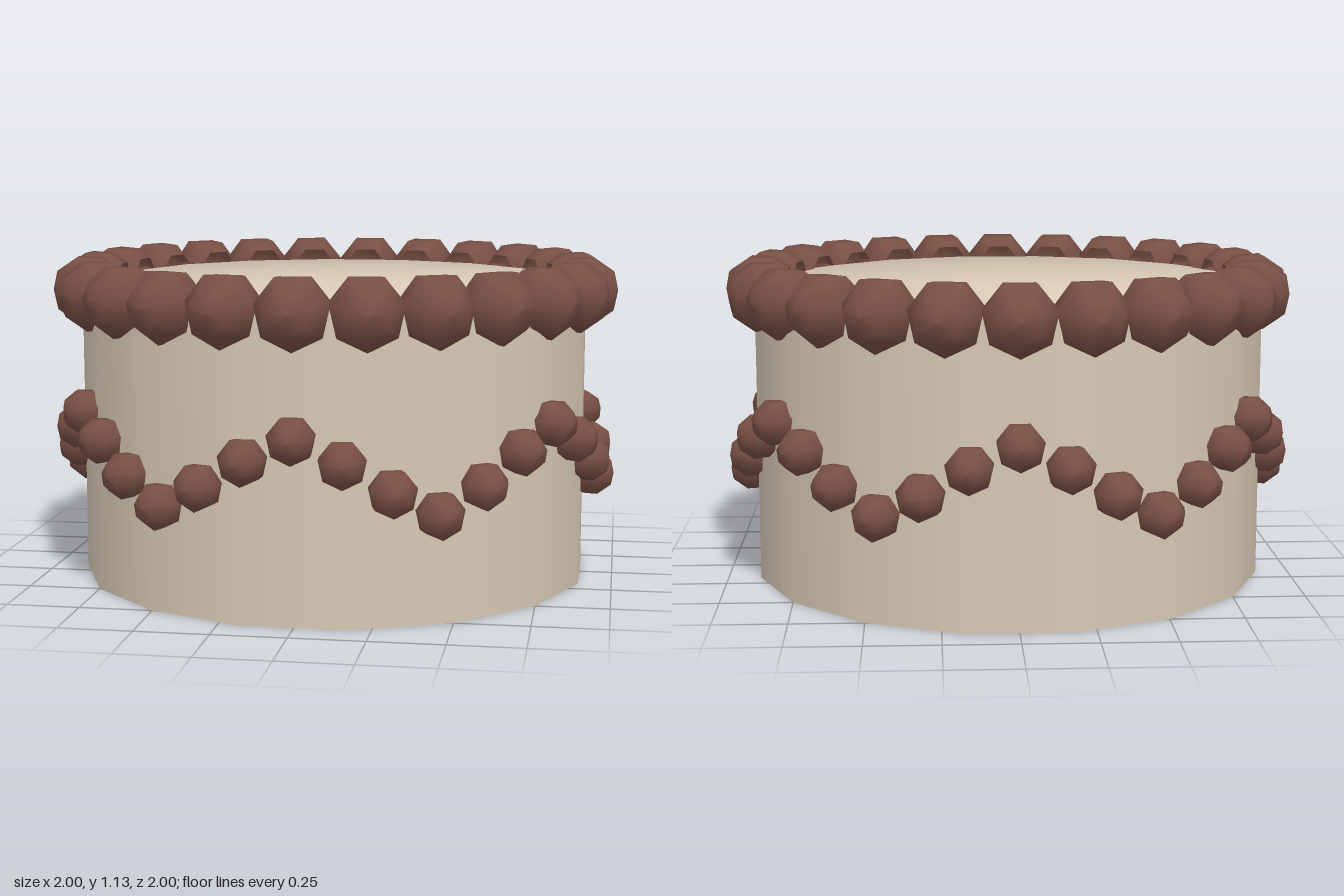
import * as THREE from 'three';

const cream = new THREE.MeshStandardMaterial({ color: 0xd7c8b4, side: THREE.DoubleSide });
cream.name = 'creamIcing';
const brown = new THREE.MeshStandardMaterial({ color: 0x795045, side: THREE.DoubleSide });
brown.name = 'chocolate';

// Seven-sided bead facing +z, open at the back where it sinks into the cake
function beadGeometry(r) {
  const profile = [140, 112, 75, 33].map((deg) => {
    const a = THREE.MathUtils.degToRad(deg);
    return new THREE.Vector2(r * Math.sin(a), r * Math.cos(a));
  });
  profile.push(new THREE.Vector2(0, r * 0.95));
  return new THREE.LatheGeometry(profile, 7).rotateX(Math.PI / 2);
}

// Ring of outward-facing beads; heightAt gives y for each index
function beadRing(name, count, beadRadius, ringRadius, heightAt) {
  const ring = new THREE.Group();
  ring.name = name;
  const geometry = beadGeometry(beadRadius);
  for (let i = 0; i < count; i++) {
    const a = (i / count) * Math.PI * 2;
    const bead = new THREE.Mesh(geometry, brown);
    bead.name = 'bead';
    bead.position.set(Math.sin(a) * ringRadius, heightAt(i), Math.cos(a) * ringRadius);
    bead.rotation.y = a;
    ring.add(bead);
  }
  return ring;
}

export function createModel() {
  const cake = new THREE.Group();
  cake.name = 'cake';
  const radius = 0.902, rimY = 1.03, sides = 16;

  // Side wall, open underneath
  const wall = new THREE.Mesh(
    new THREE.CylinderGeometry(radius, radius, rimY, sides, 1, true, Math.PI / sides), cream);
  wall.name = 'cakeSide';
  wall.position.y = rimY / 2;
  cake.add(wall);

  // Gently domed top with softly rounded shading
  const topProfile = [[radius, rimY], [0.78, 1.05], [0.4, 1.06], [0, 1.063]]
    .map(([x, y]) => new THREE.Vector2(x, y));
  const topGeometry = new THREE.LatheGeometry(topProfile, sides, Math.PI / sides);
  const { position, normal } = topGeometry.attributes;
  const n = new THREE.Vector3();
  for (let i = 0; i < position.count; i++) {
    n.set(position.getX(i) * 0.6, 1, position.getZ(i) * 0.6).normalize();
    normal.setXYZ(i, n.x, n.y, n.z);
  }
  const top = new THREE.Mesh(topGeometry, cream);
  top.name = 'cakeTop';
  cake.add(top);

  // Large beads around the rim
  cake.add(beadRing('rimBeads', 24, 0.129, 0.877, () => 1.014));

  // Small beads in six swags around the side
  const swag = [0.615, 0.54, 0.445, 0.365, 0.445, 0.54];
  cake.add(beadRing('swagBeads', 36, 0.082, 0.921, (i) => swag[i % 6]));

  return cake;
}
